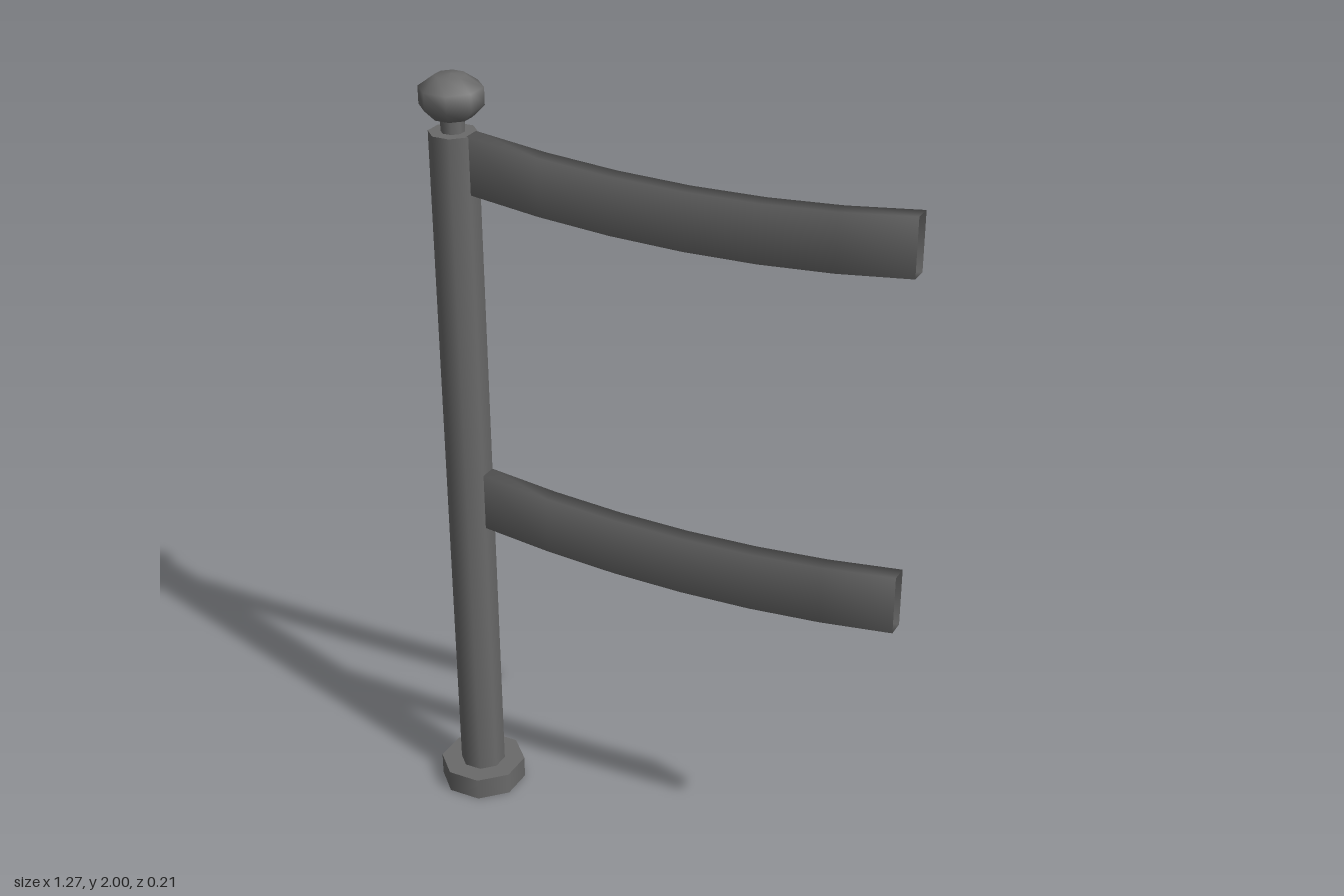
import * as THREE from 'three';

const POST_X = -0.532;
const metal = new THREE.MeshStandardMaterial({ color: 0x6a6a6a, side: THREE.DoubleSide });

// Eight-sided turned part with flats facing the axes; profile radii are measured to the flats
function turned(name, profile) {
  const points = profile.map(([r, y]) => new THREE.Vector2(r / Math.cos(Math.PI / 8), y));
  const mesh = new THREE.Mesh(new THREE.LatheGeometry(points, 8, Math.PI / 8), metal);
  mesh.name = name;
  mesh.position.x = POST_X;
  return mesh;
}

// Sagging hollow rail: an open rectangular tube swept along a shallow parabola
function rail(name, endBottom, height) {
  const steps = 6, x0 = -0.482, x1 = 0.635, halfDepth = 0.022, sag = 0.04;
  const positions = [], indices = [];
  for (let i = 0; i <= steps; i++) {
    const t = i / steps, u = 2 * t - 1;
    const x = x0 + (x1 - x0) * t;
    const y = endBottom - sag * (1 - u * u);
    positions.push(
      x, y, halfDepth,
      x, y + height, halfDepth,
      x, y + height, -halfDepth,
      x, y, -halfDepth
    );
    if (i === steps) break;
    for (let k = 0; k < 4; k++) {
      const a = i * 4 + k, b = i * 4 + (k + 1) % 4;
      indices.push(a, a + 4, b, b, a + 4, b + 4);
    }
  }
  const geometry = new THREE.BufferGeometry();
  geometry.setAttribute('position', new THREE.Float32BufferAttribute(positions, 3));
  geometry.setIndex(indices);
  geometry.computeVertexNormals();
  const mesh = new THREE.Mesh(geometry, metal);
  mesh.name = name;
  return mesh;
}

export function createModel() {
  const model = new THREE.Group();
  model.name = 'railingPost';

  // Base collar, open underneath
  model.add(turned('baseWall', [[0.105, 0], [0.105, 0.06]]));
  model.add(turned('baseTop', [[0.105, 0.06], [0.055, 0.06]]));

  // Post with a flat top
  model.add(turned('post', [[0.055, 0.06], [0.055, 1.86]]));
  model.add(turned('postTop', [[0.055, 1.86], [0, 1.86]]));

  // Neck and knob
  model.add(turned('neck', [[0.027, 1.86], [0.027, 1.9]]));
  model.add(turned('knob', [
    [0.027, 1.89], [0.045, 1.896], [0.072, 1.925], [0.072, 1.968], [0.035, 1.996], [0, 2]
  ]));

  // Rails
  model.add(rail('upperRail', 1.717, 0.144));
  model.add(rail('lowerRail', 0.812, 0.152));
  return model;
}
